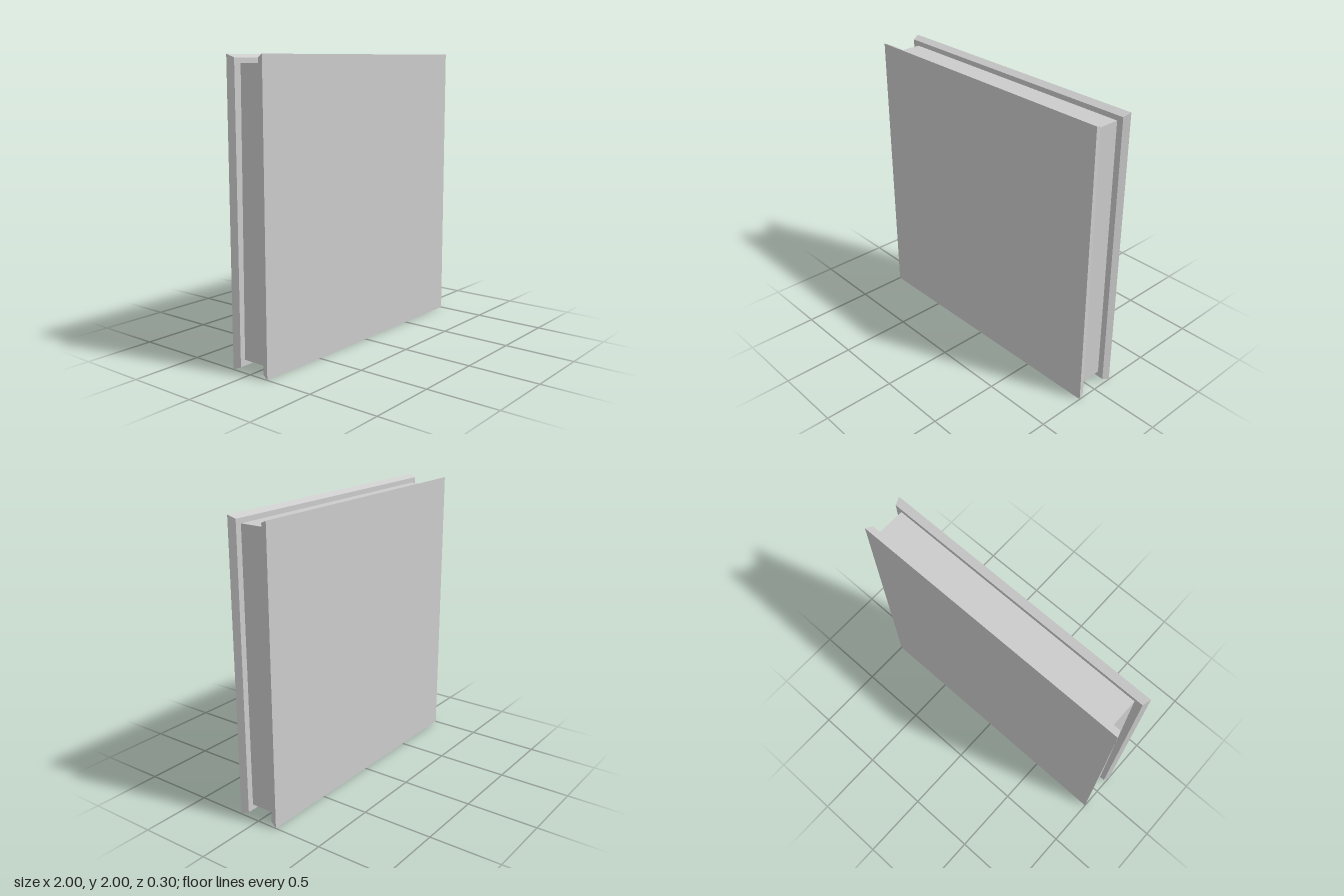
import * as THREE from 'three';

const material = new THREE.MeshStandardMaterial({ color: 0xcccccc, flatShading: true });

// Box whose corners are moved by a rule, so its sides can slope
function slopedBox(name, w, h, d, move) {
  const geometry = new THREE.BoxGeometry(w, h, d);
  const p = geometry.attributes.position;
  const v = new THREE.Vector3();
  for (let i = 0; i < p.count; i++) {
    v.fromBufferAttribute(p, i);
    move(v);
    p.setXYZ(i, v.x, v.y, v.z);
  }
  geometry.computeVertexNormals();
  const mesh = new THREE.Mesh(geometry, material);
  mesh.name = name;
  return mesh;
}

export function createModel() {
  const model = new THREE.Group();
  model.name = 'doublePanel';

  // Front and back panels, bevelled towards the core
  for (const side of [1, -1]) {
    const panel = slopedBox(side > 0 ? 'frontPanel' : 'backPanel', 2, 2, 0.05, (v) => {
      if (v.z * side < 0) {
        v.x *= 0.983;
        v.y *= 0.979;
      }
    });
    panel.position.set(0, 1, 0.125 * side);
    model.add(panel);
  }

  // Recessed core, its right side leaning in slightly at the top
  const core = slopedBox('core', 1.885, 1.885, 0.2, (v) => {
    if (v.x < 0 && v.y > 0) v.x += 0.015;
  });
  core.position.set(-0.0025, 1.0025, 0);
  model.add(core);

  return model;
}
